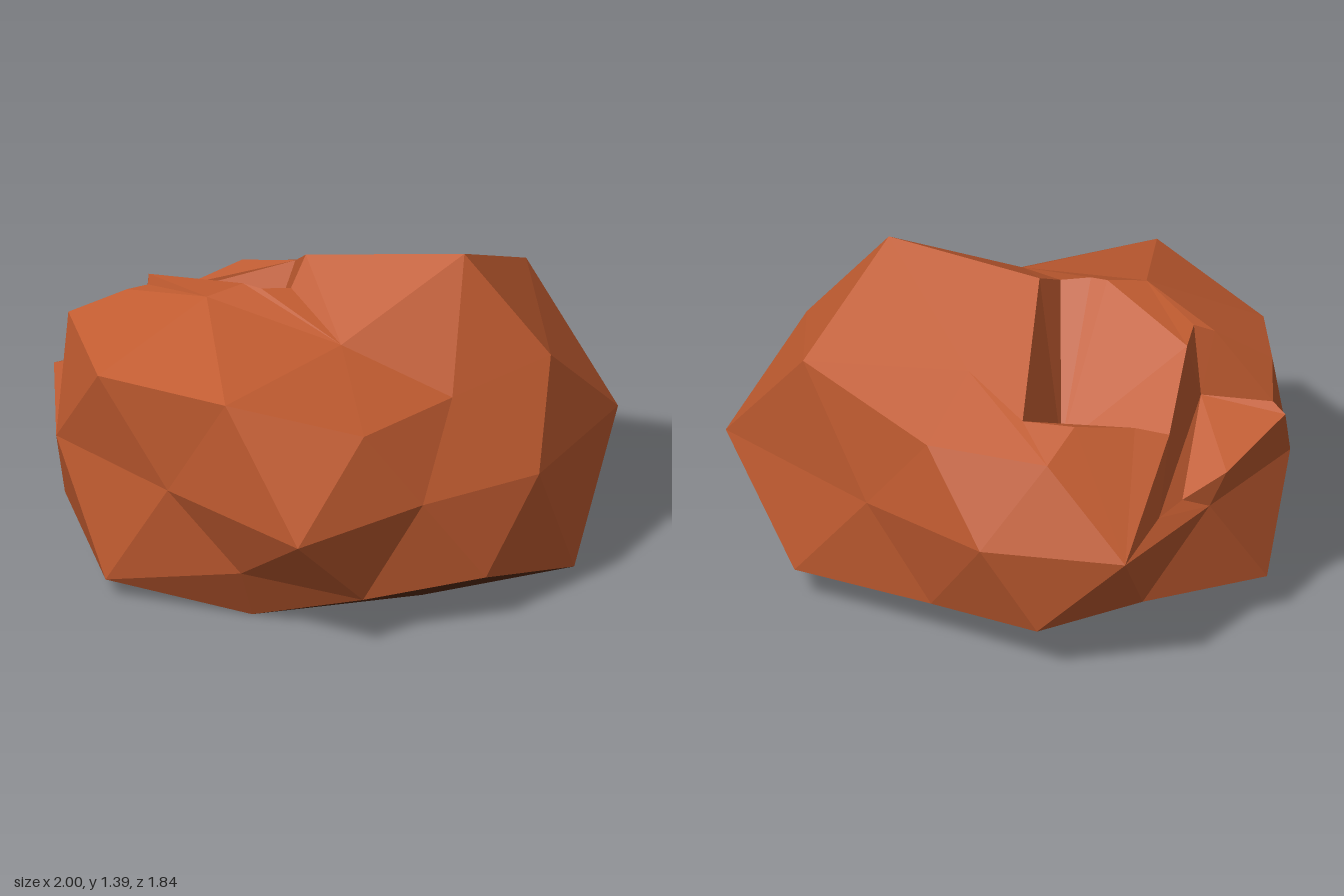
import * as THREE from 'three';

function makeMaterial(name, color) {
  const material = new THREE.MeshStandardMaterial({ color, flatShading: true, side: THREE.DoubleSide });
  material.name = name;
  return material;
}
const rock = makeMaterial('terracotta rock', 0xc05b30);
const darkRock = makeMaterial('dark underside', 0x582c14);

// Cross-sections of the boulder, each running from +x round to +z.
const top = [0, 1.33, 0.04];
const base = [0.05, 0, 0];
const crown = [[0.38, 1.13, 0.24], [-0.15, 1.245, 0.46], null, [-0.12, 1.11, -0.4], [0.54, 1.39, -0.31]];
const shoulder = [
  [0.745, 0.925, -0.02], [0.7, 0.905, 0.45], [0.33, 1.07, 0.865], [-0.32, 1, 0.915], [-0.7, 1.07, 0.68],
  null, [-0.65, 0.92, -0.4], [-0.26, 0.94, -0.71], [0.35, 1.1, -0.875], [0.835, 0.97, -0.5],
];
const waist = [
  [0.845, 0.26], [0.745, 0.885], [0.01, 0.86], [-0.65, 0.805], [-0.82, 0.28],
  [-1, -0.27], [-0.57, -0.675], [0.01, -0.81], [0.81, -0.92], [0.995, -0.26],
].map(([x, z]) => [x, 0.58, z]);
const skirt = [
  [0.965, 0.21, 0.02], [0.695, 0.175, 0.45], [0.28, 0.25, 0.72], [-0.31, 0.08, 0.88], [-0.84, 0.17, 0.55],
  [-0.75, 0.2, 0], [-0.69, 0.2, -0.48], [-0.22, 0.17, -0.66], [0.36, 0.14, -0.91], [0.925, 0.04, -0.54],
];
const foot = [[0.6, 0, 0], [0.22, 0, 0.59], [-0.42, 0, 0.35], [-0.35, 0.06, -0.17], [0.28, 0, -0.54]];

// Flat-shaded mesh from convex polygons, each cut into a fan.
function facetMesh(name, polygons, material = rock) {
  const positions = [];
  for (const p of polygons) {
    if (p.includes(null)) continue; // left open for the broken corner
    for (let i = 1; i < p.length - 1; i++) positions.push(...p[0], ...p[i], ...p[i + 1]);
  }
  const geometry = new THREE.BufferGeometry();
  geometry.setAttribute('position', new THREE.Float32BufferAttribute(positions, 3));
  geometry.computeVertexNormals();
  const mesh = new THREE.Mesh(geometry, material);
  mesh.name = name;
  return mesh;
}

// Whole boulder: five rings joined in triangles, open at one corner.
function boulderFaces() {
  const body = [], underside = [];
  const at = (ring, i) => ring[(i + ring.length) % ring.length];
  for (let k = 0; k < 5; k++) {
    const c = crown[k], next = at(crown, k + 1), j = 2 * k;
    if (k !== 0) body.push([top, next, c]);
    body.push([c, at(shoulder, j + 1), shoulder[j]]);
    body.push([c, at(shoulder, j + 2), at(shoulder, j + 1)]);
    body.push([c, next, at(shoulder, j + 2)]);
    // The steep front pair and one facet at the back keep the lighter colour
    const flank = k === 1 ? body : underside;
    flank.push([skirt[j], skirt[j + 1], foot[k]]);
    flank.push([at(skirt, j - 1), skirt[j], foot[k]]);
    (k === 3 ? body : underside).push([skirt[j + 1], at(foot, k + 1), foot[k]]);
    underside.push([foot[k], at(foot, k + 1), base]);
  }
  for (let j = 0; j < 10; j++) {
    if (j !== 4) body.push([shoulder[j], waist[j], at(waist, j - 1)]);
    body.push([shoulder[j], at(shoulder, j + 1), waist[j]]);
    body.push([at(waist, j - 1), waist[j], skirt[j]]);
    body.push([waist[j], at(skirt, j + 1), skirt[j]]);
  }
  return { body, underside };
}

export function createModel() {
  const group = new THREE.Group();
  group.name = 'boulder';
  const { body, underside } = boulderFaces();
  group.add(facetMesh('boulderBody', body));
  group.add(facetMesh('underside', underside, darkRock));

  // Corners of the broken-out notch
  const tip = [-0.43, 1.01, -0.36], rimBack = [-0.59, 1.01, -0.22], rimSide = [-0.67, 0.96, 0.02];
  const mouth = [-0.74, 0.92, 0.14], floorDeep = [-0.35, 0.77, -0.11], floorTop = [0.05, 1.25, 0.18];
  const floorBend = [-0.02, 1.26, 0.28], floorEdge = [-0.09, 1.27, 0.31];
  const rimFront = [-0.56, 1.17, 0.36], rimPoint = [-0.47, 1.19, 0.46], rimBend = [-0.53, 1.17, 0.52];
  // Corners of the ledge below it
  const ledgeIn = [-0.49, 0.87, 0.48], ledgeLip = [-0.69, 0.86, 0.69], ledgeFront = [-0.76, 0.83, 0.7];
  const ledgeMid = [-0.84, 0.72, 0.35], ledgeDip = [-0.8, 0.64, 0.16], ledgeBack = [-0.86, 0.64, 0];
  const lip = shoulder[4], corner = waist[3], side = waist[4], spike = waist[5];

  group.add(facetMesh('notchRim', [
    [top, crown[3], tip],
    [crown[3], shoulder[6], tip],
    [tip, shoulder[6], rimBack],
    [shoulder[6], spike, rimBack],
    [rimBack, spike, rimSide],
    [rimSide, spike, mouth],
    [crown[0], top, floorTop, floorBend, floorEdge, crown[1]],
    [crown[1], floorEdge, rimFront, rimPoint, rimBend, lip],
  ]));
  group.add(facetMesh('notchWalls', [
    [top, tip, floorDeep, floorTop],
    [tip, rimBack, rimSide, mouth, floorDeep],
    [rimFront, mouth, ledgeBack, ledgeIn],
    [rimFront, ledgeIn, rimPoint],
    [rimPoint, ledgeIn, rimBend],
    [rimBend, ledgeIn, ledgeLip, lip],
  ]));
  group.add(facetMesh('notchFloor', [[floorDeep, mouth, rimFront, floorEdge, floorBend, floorTop]]));
  group.add(facetMesh('ledge', [
    [ledgeIn, ledgeBack, ledgeDip, ledgeMid, ledgeFront, ledgeLip],
    [lip, ledgeLip, corner],
    [ledgeLip, ledgeFront, corner],
    [ledgeFront, side, corner],
    [ledgeFront, ledgeMid, side],
    [ledgeMid, ledgeDip, side],
    [ledgeDip, ledgeBack, side],
    [ledgeBack, spike, side],
    [mouth, spike, ledgeBack],
  ]));
  return group;
}
